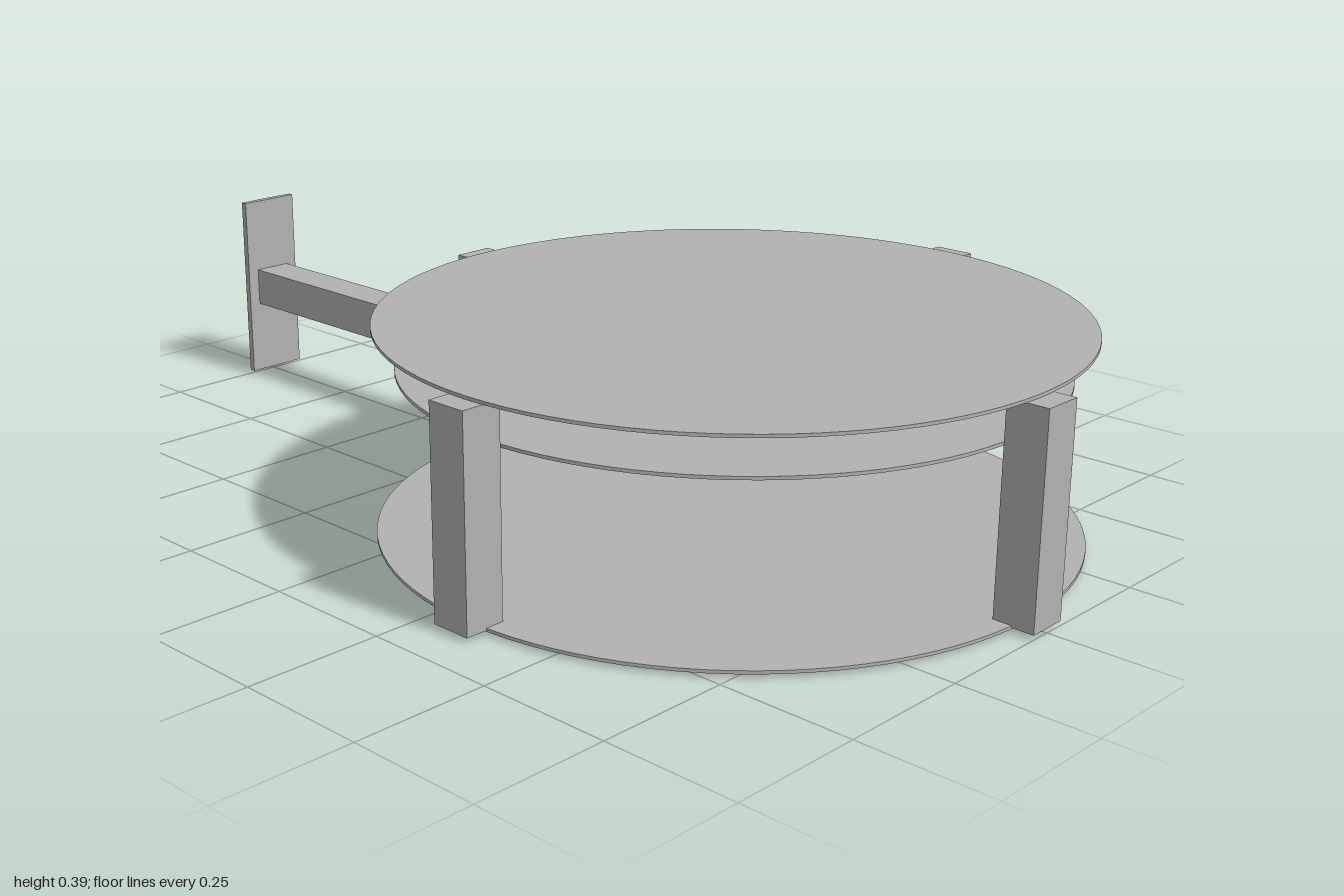
import * as THREE from 'three';

export function createModel() {
  const model = new THREE.Group();
  model.name = 'roundFrameWithArm';
  const grey = new THREE.MeshStandardMaterial({ color: 0xb2b2b2 });
  grey.name = 'plainGrey';

  const CX = 0.333; // axis of the round frame

  function add(name, geometry, x, y, z, parent = model) {
    const mesh = new THREE.Mesh(geometry, grey);
    mesh.name = name;
    mesh.position.set(x, y, z);
    parent.add(mesh);
    return mesh;
  }

  // Thin round plate between two heights
  function disc(name, radius, y0, y1) {
    add(name, new THREE.CylinderGeometry(radius, radius, y1 - y0, 96), CX, (y0 + y1) / 2, 0);
  }
  disc('topDisc', 0.627, 0.384, 0.39);
  disc('middleDisc', 0.588, 0.304, 0.31);
  disc('bottomDisc', 0.627, 0.006, 0.012);

  // Shallow foot ring below the bottom disc
  const ring = new THREE.Shape().absarc(0, 0, 0.505, 0, Math.PI * 2);
  ring.holes.push(new THREE.Path().absarc(0, 0, 0.488, 0, Math.PI * 2, true));
  const ringGeometry = new THREE.ExtrudeGeometry(ring, { depth: 0.006, bevelEnabled: false, curveSegments: 96 });
  ringGeometry.rotateX(-Math.PI / 2);
  add('footRing', ringGeometry, CX, 0, 0);

  // Four square posts around the rim
  const posts = new THREE.Group();
  posts.name = 'posts';
  model.add(posts);
  for (const [dx, dz] of [[1, 0], [-1, 0], [0, 1], [0, -1]]) {
    add('post', new THREE.BoxGeometry(0.077, 0.376, 0.077), CX + dx * 0.6285, 0.196, dz * 0.6285, posts);
  }

  // Side arm with its end plate
  add('arm', new THREE.BoxGeometry(0.613, 0.076, 0.077), -0.6805, 0.195, 0);
  add('endPlate', new THREE.BoxGeometry(0.013, 0.376, 0.125), -0.9935, 0.196, 0);

  return model;
}
